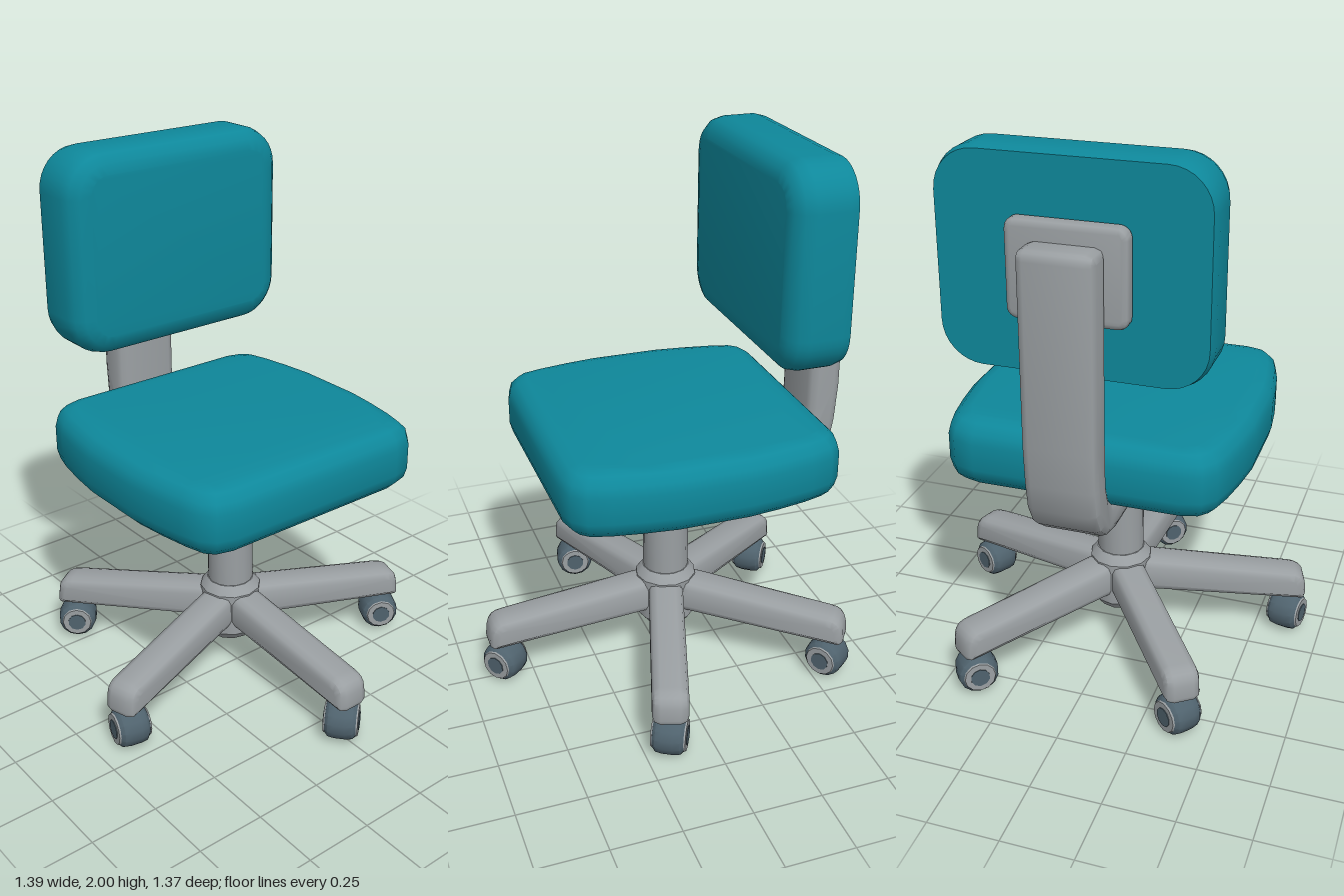
import * as THREE from 'three';
import { toCreasedNormals } from 'three/addons/utils/BufferGeometryUtils.js';

const mat = (name, color) => new THREE.MeshStandardMaterial({ name, color });
const AXIS_Z = -0.043; // column centre line

// Solid of given total depth, centred on z, with rounded edges inside the outline
function slab(shape, depth, bevel, segments = 3) {
  const g = new THREE.ExtrudeGeometry(shape, {
    depth: depth - 2 * bevel, bevelEnabled: true, bevelSize: bevel, bevelThickness: bevel,
    bevelOffset: -bevel, bevelSegments: segments, curveSegments: 4,
  });
  g.translate(0, 0, -depth / 2 + bevel);
  return g;
}

function roundedRect(w, h, r) {
  const x = w / 2, y = h / 2, s = new THREE.Shape();
  s.moveTo(-x + r, -y);
  s.lineTo(x - r, -y); s.absarc(x - r, -y + r, r, -Math.PI / 2, 0);
  s.lineTo(x, y - r); s.absarc(x - r, y - r, r, 0, Math.PI / 2);
  s.lineTo(-x + r, y); s.absarc(-x + r, y - r, r, Math.PI / 2, Math.PI);
  s.lineTo(-x, -y + r); s.absarc(-x + r, -y + r, r, Math.PI, Math.PI * 1.5);
  return s;
}

const smooth = (g, angle = 0.8) => toCreasedNormals(g, angle);
const lathe = (pts, sides, angle) =>
  smooth(new THREE.LatheGeometry(pts.map(p => new THREE.Vector2(...p)), sides), angle);

export function createModel() {
  const model = new THREE.Group();
  const teal = mat('teal upholstery', 0x0e889b);
  const grey = mat('grey plastic', 0x9a9fa2);
  const slate = mat('slate rubber', 0x4f626d);

  const add = (name, geometry, material, parent = model, pos = [0, 0, 0]) => {
    const m = new THREE.Mesh(geometry, material);
    m.name = name;
    m.position.set(...pos);
    parent.add(m);
    return m;
  };

  // Seat: bulging sides, one quarter of the outline mirrored
  const q = [[0.53, 0.13], [0.516, 0.25], [0.497, 0.36], [0.475, 0.44], [0.435, 0.485], [0.36, 0.505]];
  const r = [...q].reverse();
  const outline = [
    ...q, ...r.map(([x, y]) => [-x, y]),
    ...q.map(([x, y]) => [-x, -y]), ...r.map(([x, y]) => [x, -y]),
  ].map(p => new THREE.Vector2(...p));
  const seat = slab(new THREE.Shape(outline), 0.245, 0.075);
  seat.rotateX(-Math.PI / 2);
  add('seat', smooth(seat), teal, model, [0, 0.933, AXIS_Z]);

  // Backrest: soft front edge, rear edge flattened
  const back = slab(roundedRect(0.915, 0.73, 0.15), 0.265, 0.075);
  const bp = back.attributes.position;
  for (let i = 0; i < bp.count; i++) bp.setZ(i, Math.max(bp.getZ(i), -0.092));
  add('backrest', smooth(back), teal, model, [0, 1.635, -0.44]);

  add('backrestPlate', smooth(slab(roundedRect(0.405, 0.33, 0.04), 0.06, 0.02, 2)), grey,
    model, [0, 1.635, -0.552]);

  // Bent support bar, profile drawn as (distance backward, height)
  const bar = new THREE.Shape();
  bar.moveTo(0.08, 0.7);
  bar.lineTo(0.46, 0.7);
  bar.bezierCurveTo(0.6, 0.7, 0.67, 0.8, 0.675, 0.94);
  bar.lineTo(0.685, 1.08);
  bar.lineTo(0.685, 1.7);
  bar.quadraticCurveTo(0.685, 1.735, 0.65, 1.735);
  bar.lineTo(0.595, 1.735);
  bar.quadraticCurveTo(0.56, 1.735, 0.56, 1.7);
  bar.lineTo(0.56, 1.0);
  bar.bezierCurveTo(0.56, 0.88, 0.53, 0.81, 0.44, 0.81);
  bar.lineTo(0.08, 0.81);
  bar.closePath();
  const barGeo = slab(bar, 0.255, 0.03, 2);
  barGeo.rotateY(Math.PI / 2);
  add('supportBar', smooth(barGeo), grey);

  // Mount under the seat, wider than deep
  const mount = add('seatMount', lathe(
    [[0, 0.68], [0.1, 0.68], [0.15, 0.71], [0.17, 0.76], [0.175, 0.82], [0, 0.82]], 16, 0.9),
    grey, model, [0, 0, AXIS_Z + 0.02]);
  mount.scale.z = 0.83;

  // Column and base hub
  add('column', lathe([[0.086, 0.34], [0.086, 0.72]], 16, 0.6), grey, model, [0, 0, AXIS_Z]);
  add('baseHub', lathe(
    [[0, 0.13], [0.085, 0.13], [0.113, 0.165], [0.116, 0.335], [0.09, 0.37], [0, 0.37]], 12, 0.6),
    grey, model, [0, 0, AXIS_Z]);

  // Leg profile drawn as (distance outward, height)
  const leg = new THREE.Shape();
  leg.moveTo(0.04, 0.2);
  leg.lineTo(0.69, 0.153);
  leg.quadraticCurveTo(0.71, 0.153, 0.71, 0.175);
  leg.lineTo(0.706, 0.22);
  leg.quadraticCurveTo(0.7, 0.268, 0.645, 0.272);
  leg.lineTo(0.12, 0.328);
  leg.lineTo(0.04, 0.332);
  leg.closePath();
  const legGeo = smooth(slab(leg, 0.13, 0.03, 2));

  // Castor pieces, axle along y before turning
  const tyreGeo = lathe(
    [[0, -0.058], [0.055, -0.058], [0.071, -0.044], [0.075, -0.02], [0.075, 0.02],
      [0.071, 0.044], [0.055, 0.058], [0, 0.058]], 14, 0.7);
  const ringGeo = new THREE.CylinderGeometry(0.056, 0.059, 0.006, 12);
  const capGeo = new THREE.CylinderGeometry(0.035, 0.035, 0.006, 10);
  const stemGeo = new THREE.CylinderGeometry(0.025, 0.025, 0.08, 8);

  // Five legs, each with a castor swivelled its own way
  const base = new THREE.Group();
  base.name = 'base';
  base.position.z = AXIS_Z;
  model.add(base);
  const swivels = [40, -30, 37, -37, 78]; // axle heading in degrees from the front
  swivels.forEach((swivel, i) => {
    const a = i * Math.PI * 2 / 5;
    add('leg', legGeo, grey, base).rotation.y = a - Math.PI / 2;

    const castor = new THREE.Group();
    castor.name = 'castor';
    castor.position.set(Math.sin(a) * 0.648, 0.075, Math.cos(a) * 0.648);
    castor.rotation.y = THREE.MathUtils.degToRad(swivel);
    base.add(castor);
    add('castorStem', stemGeo, slate, castor, [0, 0.08, 0]);
    const wheel = new THREE.Group();
    wheel.name = 'wheel';
    wheel.rotation.x = Math.PI / 2;
    castor.add(wheel);
    add('tyre', tyreGeo, slate, wheel);
    for (const s of [-1, 1]) {
      const ring = add('wheelRing', ringGeo, grey, wheel, [0, s * 0.059, 0]);
      if (s < 0) ring.rotation.x = Math.PI;
      add('wheelCap', capGeo, slate, wheel, [0, s * 0.062, 0]);
    }
  });

  return model;
}
